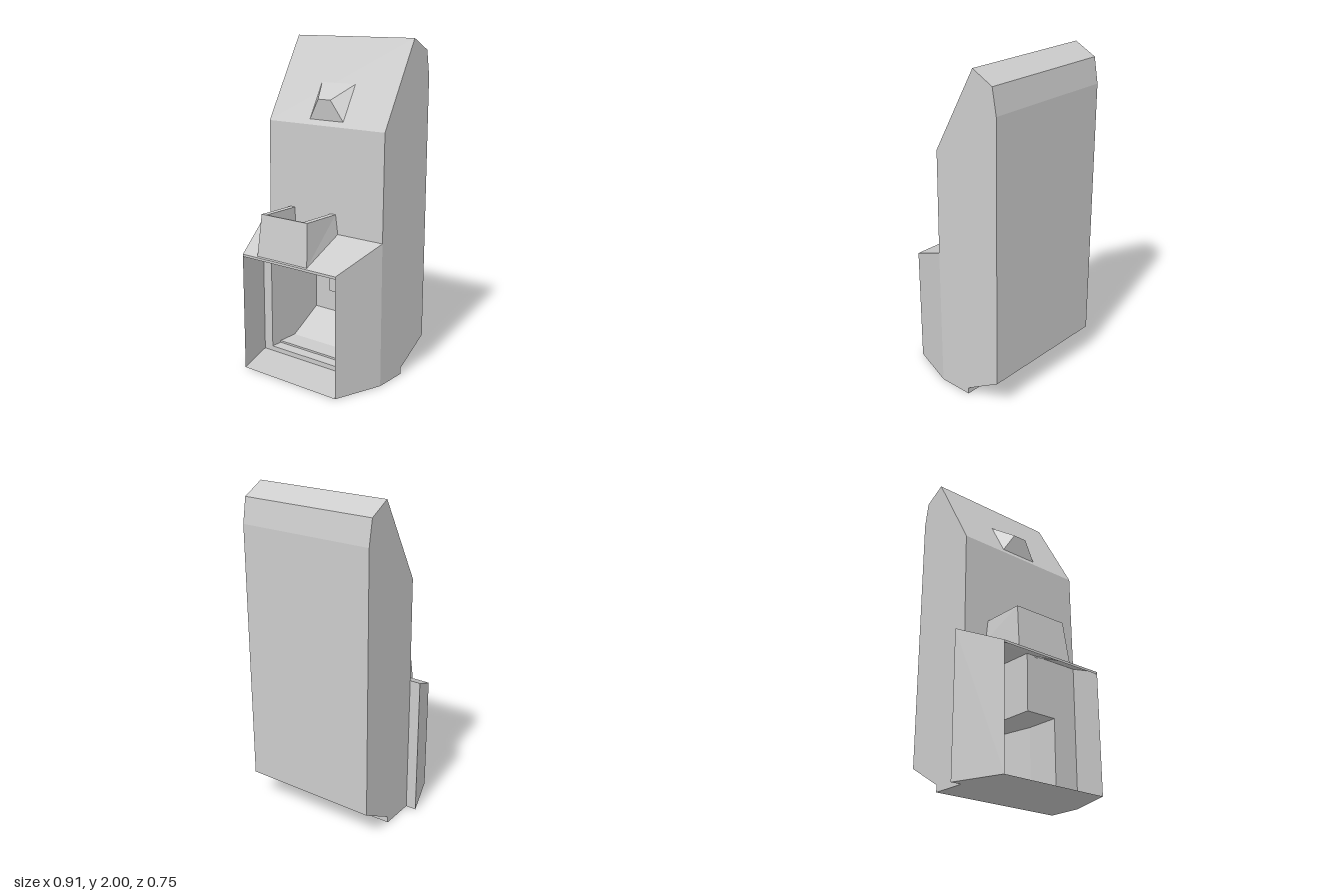
import * as THREE from 'three';

const material = new THREE.MeshStandardMaterial({ color: 0xcccccc, side: THREE.DoubleSide, flatShading: true });

// One mesh from a list of flat convex polygons, each an array of [x, y, z] corners
function panels(name, polygons) {
  const pos = [];
  for (const p of polygons)
    for (let i = 1; i < p.length - 1; i++) pos.push(...p[0], ...p[i], ...p[i + 1]);
  const g = new THREE.BufferGeometry();
  g.setAttribute('position', new THREE.Float32BufferAttribute(pos, 3));
  g.computeVertexNormals();
  const m = new THREE.Mesh(g, material);
  m.name = name;
  return m;
}

// Sheet running across x along a [z, y] profile
function strip(name, x0, x1, profile) {
  const quads = [];
  for (let i = 0; i < profile.length - 1; i++) {
    const [z0, y0] = profile[i], [z1, y1] = profile[i + 1];
    quads.push([[x0, y0, z0], [x1, y0, z0], [x1, y1, z1], [x0, y1, z1]]);
  }
  return panels(name, quads);
}

// Flat sheet in the z-y plane at a given x
function sidePanel(name, x, profile) {
  const shape = new THREE.Shape(profile.map(([z, y]) => new THREE.Vector2(-z, y)));
  const m = new THREE.Mesh(new THREE.ShapeGeometry(shape), material);
  m.rotation.y = Math.PI / 2;
  m.position.x = x;
  m.name = name;
  return m;
}

export function createModel() {
  const model = new THREE.Group();
  model.name = 'cabinet';
  const L = 0.455, R = -0.392, F = 0.077;

  // Tall hollow cabinet, open at the lower front
  const profile = [[F, 0.87], [0.07, 1.5], [-0.21, 2], [-0.345, 1.93], [-0.372, 1.78],
    [-0.372, 0.178], [-0.14, 0.04], [-0.14, 0], [F, 0]];
  model.add(strip('cabinetShell', R, L, profile));
  model.add(sidePanel('leftSide', L, profile), sidePanel('rightSide', R, profile));
  model.add(strip('compartmentCeiling', R, L, [[F, 0.87], [-0.37, 0.87]]));

  // Stepped floor inside the compartment
  model.add(strip('floorStep', R, L, [[F, 0], [F, 0.03], [0, 0.03], [0, 0.042], [-0.14, 0.042]]));

  // Tapered front housing: cheeks, sloping hood, lintel and base
  const W = 0.35, Z = 0.375, B = -0.458;
  const cheek = (x0, x1) => [[x0, 0, Z], [x1, 0, F], [x1, 0.87, F], [x0, 0.73, Z]];
  model.add(panels('leftCheek', [cheek(W, L)]));
  model.add(panels('rightCheek', [cheek(-W, B)]));
  model.add(panels('rightFlange', [[[B, 0, F], [R, 0, F], [R, 0.87, F], [B, 0.87, F]]]));
  model.add(panels('hood', [[[-W, 0.73, Z], [W, 0.73, Z], [L, 0.87, F], [B, 0.87, F]]]));
  model.add(strip('lintel', -W, W, [[Z, 0.73], [Z, 0.715]]));
  model.add(panels('frontBase', [[[-W, 0, Z], [W, 0, Z], [L, 0, F], [B, 0, F]]]));

  // Mechanism box and inner wall inside the compartment
  const box = new THREE.Mesh(new THREE.BoxGeometry(L - 0.075, 0.36, 0.44), material);
  box.position.set((L + 0.075) / 2, 0.69, F - 0.22);
  box.name = 'mechanismBox';
  model.add(box);
  model.add(panels('innerWall', [
    [[0.285, 0.03, F], [L, 0.03, F], [L, 0.51, F], [0.285, 0.51, F]],
    [[0.285, 0.03, F], [0.285, 0.51, F], [0.285, 0.51, -0.14], [0.285, 0.03, -0.14]],
    [[0.285, 0.03, -0.14], [0.285, 0.51, -0.14], [0.245, 0.51, -0.37], [0.245, 0.178, -0.37]],
  ]));

  // Open tray on the hood: tapered outer skin, rims, inner skin and floor
  const ring = (x0, x1, y, z) => [[x0, y, F], [x0, y, z], [x1, y, z], [x1, y, F]];
  const rings = [
    [[-0.24, 0.86, F], [-0.24, 0.735, 0.365], [0.138, 0.735, 0.365], [0.138, 0.86, F]],
    ring(-0.226, 0.12, 0.988, 0.337),
    ring(-0.19, 0.085, 0.988, 0.328),
    ring(-0.19, 0.085, 0.87, 0.328),
  ];
  const tray = [rings[3]];
  for (let i = 0; i < 3; i++)
    for (let j = 0; j < 3; j++)
      tray.push([rings[i][j], rings[i][j + 1], rings[i + 1][j + 1], rings[i + 1][j]]);
  model.add(panels('tray', tray));

  // Hipped bump on the slanted upper face
  const a = [-0.09, 1.53, 0.053], b = [0.155, 1.53, 0.053];
  const c = [0.155, 1.737, -0.062], d = [-0.09, 1.737, -0.062];
  const e = [-0.015, 1.652, 0.07], f = [0.075, 1.652, 0.07];
  model.add(panels('bump', [[a, b, f, e], [b, c, f], [c, d, e, f], [d, a, e]]));

  return model;
}
